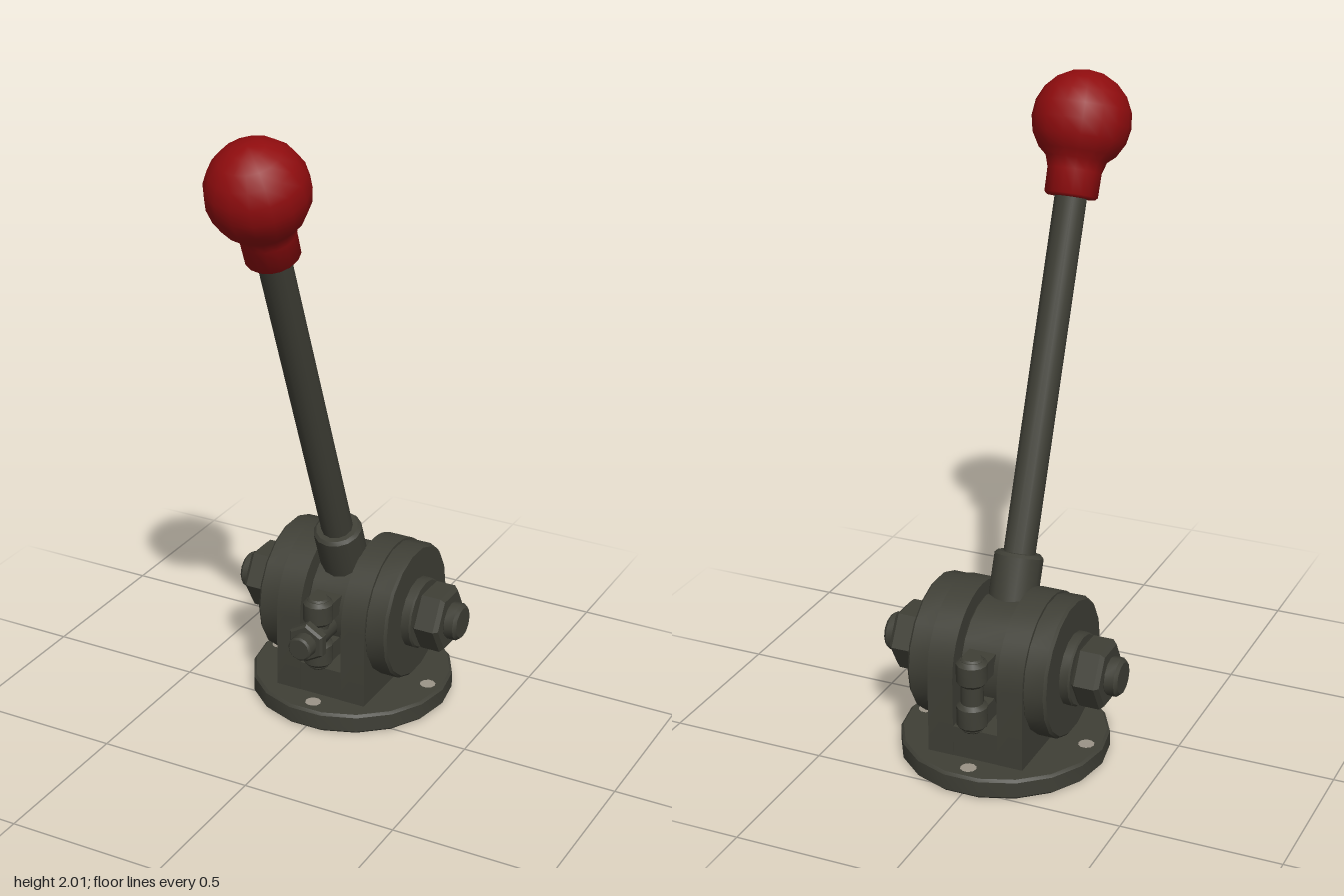
import * as THREE from 'three';
import { toCreasedNormals } from 'three/addons/utils/BufferGeometryUtils.js';

const metal = new THREE.MeshStandardMaterial({ color: 0x3f3f36 });
metal.name = 'dark olive metal';
const red = new THREE.MeshStandardMaterial({ color: 0x8f0c0e });
red.name = 'red knob';

const PIVOT = { y: 0.32, z: -0.205 };
const TILT = 0.364;

export function createModel() {
  const root = new THREE.Group();
  root.name = 'leverAssembly';

  const add = (parent, name, geometry, material = metal, crease = 0.6) => {
    const mesh = new THREE.Mesh(toCreasedNormals(geometry, crease), material);
    mesh.name = name;
    parent.add(mesh);
    return mesh;
  };
  // Turned part: profile of [radius, height] pairs along y
  const lathe = (profile, sides) =>
    new THREE.LatheGeometry(profile.map(([r, y]) => new THREE.Vector2(r, y)), sides);
  // Closed cylinder with a small bevel at both ends
  const drum = (r, a, b, sides = 18, bevel = 0.008) =>
    lathe([[0, a], [r - bevel, a], [r, a + bevel], [r, b - bevel], [r - bevel, b], [0, b]], sides);

  // Round base with four screw holes
  const outline = new THREE.Shape();
  for (let i = 0; i < 18; i++) {
    const a = ((i + 0.5) / 18) * Math.PI * 2;
    const x = Math.sin(a) * 0.325, y = Math.cos(a) * 0.33;
    if (i) outline.lineTo(x, y); else outline.moveTo(x, y);
  }
  outline.closePath();
  for (let i = 0; i < 4; i++) {
    const hole = new THREE.Path();
    const a = (i * Math.PI) / 2;
    hole.absarc(Math.cos(a) * 0.272, Math.sin(a) * 0.272, 0.034, 0, Math.PI * 2, true);
    outline.holes.push(hole);
  }
  const baseGeo = new THREE.ExtrudeGeometry(outline, {
    depth: 0.049, bevelEnabled: true, bevelSize: 0.008, bevelOffset: -0.008,
    bevelThickness: 0.008, bevelSegments: 1, curveSegments: 5,
  });
  baseGeo.rotateX(-Math.PI / 2).translate(0, 0.008, PIVOT.z);
  add(root, 'base', baseGeo);

  // Cheek plates with rounded tops, drawn in the z-y plane
  const cheek = new THREE.Shape();
  cheek.moveTo(-0.224, 0.05);
  cheek.lineTo(0.224, 0.05);
  cheek.lineTo(0.224, PIVOT.y);
  cheek.absarc(0, PIVOT.y, 0.224, 0, Math.PI, false);
  cheek.closePath();
  const bracket = new THREE.Group();
  bracket.name = 'bracket';
  root.add(bracket);
  for (const side of [-1, 1]) {
    const g = new THREE.ExtrudeGeometry(cheek, { depth: 0.083, bevelEnabled: false, curveSegments: 9 });
    g.rotateY(Math.PI / 2).translate(side > 0 ? 0.073 : -0.156, 0, PIVOT.z);
    add(bracket, side > 0 ? 'leftCheek' : 'rightCheek', g);
  }
  const floor = new THREE.BoxGeometry(0.15, 0.11, 0.446);
  floor.translate(0, 0.11, PIVOT.z);
  add(bracket, 'bracketFloor', floor);

  // Friction disc, washer, nut and bolt end on each side
  for (const side of [-1, 1]) {
    const stack = new THREE.Group();
    stack.name = side > 0 ? 'leftFastener' : 'rightFastener';
    stack.position.set(0, PIVOT.y, PIVOT.z);
    stack.rotation.z = -side * Math.PI / 2;
    add(stack, 'frictionDisc', drum(0.22, 0.15, 0.228));
    add(stack, 'washer', drum(0.115, 0.22, 0.26, 16, 0.005));
    add(stack, 'nut', drum(0.108, 0.258, 0.348, 6, 0.013), metal, 0.4);
    add(stack, 'boltEnd', drum(0.06, 0.34, 0.39, 12, 0.01));
    root.add(stack);
  }

  // Lever hub between the cheeks
  const hub = drum(0.185, -0.07, 0.07, 20, 0.006);
  hub.rotateZ(Math.PI / 2).translate(0, PIVOT.y, PIVOT.z);
  add(root, 'leverHub', hub);

  // Clamp lugs and vertical pins at front and back
  for (const end of [1, -1]) {
    const clamp = new THREE.Group();
    clamp.name = end > 0 ? 'frontClamp' : 'backClamp';
    const pinZ = end > 0 ? 0.032 : -0.445;
    for (const [low, high] of [[0.19, 0.275], [0.335, 0.418]]) {
      const knuckle = drum(0.048, low, high, 12, 0.012);
      knuckle.translate(0, 0, pinZ);
      add(clamp, 'knuckle', knuckle);
      const arm = new THREE.BoxGeometry(0.088, high - low - 0.024, 0.15);
      arm.translate(0, (low + high) / 2, pinZ - end * 0.075);
      add(clamp, 'lugArm', arm);
    }
    const pin = drum(0.035, 0.18, 0.425, 12, 0.006);
    pin.translate(0, 0, pinZ);
    add(clamp, 'hingePin', pin);
    root.add(clamp);
  }

  // Small bolt facing forward
  const bolt = new THREE.Group();
  bolt.name = 'frontBolt';
  bolt.position.set(0, 0.3, 0);
  bolt.rotation.x = Math.PI / 2;
  add(bolt, 'boltShank', drum(0.04, -0.05, 0.16, 12, 0.006));
  add(bolt, 'boltNut', drum(0.066, 0.078, 0.118, 6, 0.008), metal, 0.4);
  root.add(bolt);

  // Tilted lever: socket, rod and knob share one axis
  const lever = new THREE.Group();
  lever.name = 'lever';
  lever.position.set(0, PIVOT.y, PIVOT.z);
  lever.rotation.x = TILT;
  add(lever, 'socket', drum(0.077, 0.05, 0.315, 14, 0.01));
  add(lever, 'rod', new THREE.CylinderGeometry(0.05, 0.05, 1.2, 12).translate(0, 0.87, 0));
  const profile = [[0, 1.408], [0.074, 1.408], [0.082, 1.416], [0.083, 1.49], [0.094, 1.525]];
  for (let i = 0; i <= 7; i++) {
    const a = -0.68 + (i / 7) * (Math.PI / 2 + 0.68);
    profile.push([i === 7 ? 0 : 0.153 * Math.cos(a), 1.643 + 0.153 * Math.sin(a)]);
  }
  add(lever, 'knob', lathe(profile, 16), red, 0.9);
  root.add(lever);

  return root;
}
